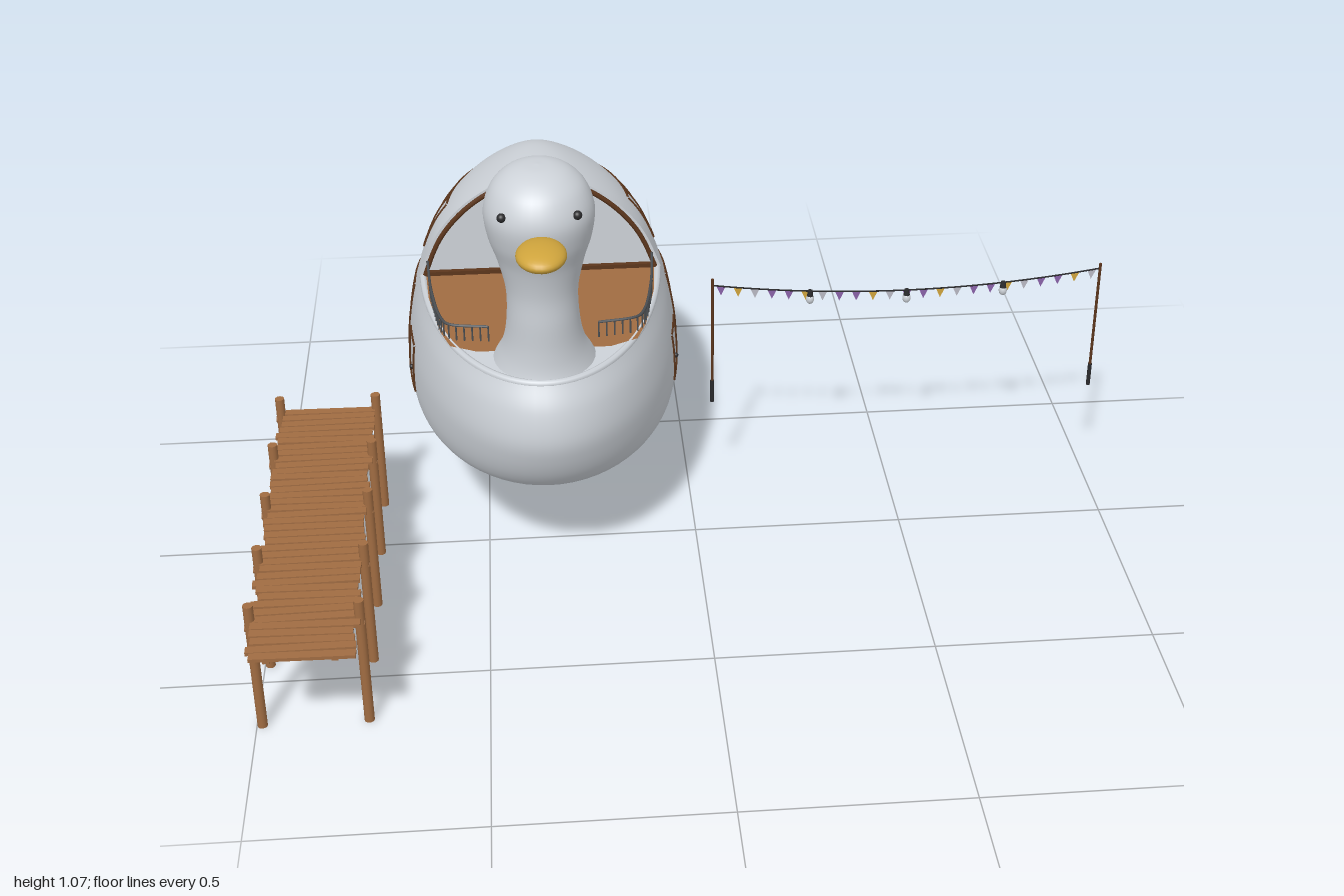
import * as THREE from 'three';

const mat = (name, color) => Object.assign(new THREE.MeshStandardMaterial({ color }), { name });
const M = {
  body: mat('pale grey', 0xcdd2d8),
  wood: mat('wood', 0xa06c42),
  frame: mat('dark wood', 0x5c361c),
  beak: mat('ochre', 0xcfa43c),
  dark: mat('charcoal', 0x2a2a2c),
  iron: mat('iron', 0x4c5054),
  purple: mat('purple', 0x8a62a8),
};
M.purple.side = M.beak.side = M.wood.side = THREE.DoubleSide;
const CX = -0.35; // boat centre line
const V = (x, y, z) => new THREE.Vector3(x, y, z);

function add(parent, name, geo, material, x = 0, y = 0, z = 0) {
  const m = new THREE.Mesh(geo, material);
  m.name = name;
  m.position.set(x, y, z);
  parent.add(m);
  return m;
}
function group(parent, name, x = 0, y = 0, z = 0) {
  const g = new THREE.Group();
  g.name = name;
  g.position.set(x, y, z);
  parent.add(g);
  return g;
}
const tube = (pts, r, n = 24, sides = 6) =>
  new THREE.TubeGeometry(new THREE.CatmullRomCurve3(pts), n, r, sides);
const bar = (a, b, r) => new THREE.TubeGeometry(new THREE.LineCurve3(a, b), 1, r, 6);

// Levels are [y, half width, centre z, reach forward, reach back]; smooth between them
function levels(rows, n) {
  const a = new THREE.CatmullRomCurve3(rows.map(r => V(r[0], r[1], r[2])), false, 'catmullrom');
  const b = new THREE.CatmullRomCurve3(rows.map(r => V(r[3], r[4], 0)), false, 'catmullrom');
  return Array.from({ length: n + 1 }, (_, i) => {
    const p = a.getPoint(i / n), q = b.getPoint(i / n);
    return [p.x, Math.max(p.y, 0), p.z, Math.max(q.x, 0), Math.max(q.y, 0)];
  });
}
function ringPoint([y, w, zc, lf, lb], a) {
  const c = Math.cos(a);
  return V(w * Math.sin(a), y, zc + c * (c > 0 ? lf : lb));
}
// Skin over the levels; startAngle opens the ring at the front
function skin(rows, seg, startAngle) {
  const pos = [], idx = [], wrap = !startAngle, cols = wrap ? seg : seg + 1;
  rows.forEach(r => {
    const a0 = wrap ? 0 : startAngle(r);
    for (let j = 0; j < cols; j++) pos.push(...ringPoint(r, a0 + (2 * Math.PI - 2 * a0) * j / seg).toArray());
  });
  for (let i = 0; i < rows.length - 1; i++) for (let j = 0; j < seg; j++) {
    const k = (j + 1) % cols, a = i * cols + j, b = i * cols + k;
    idx.push(a, b, a + cols, b, b + cols, a + cols);
  }
  const g = new THREE.BufferGeometry();
  g.setAttribute('position', new THREE.Float32BufferAttribute(pos, 3));
  g.setIndex(idx);
  g.computeVertexNormals();
  return g;
}

const WALL = -0.285;
const hullRows = levels([
  [0.245, 0, -0.35, 0, 0], [0.245, 0.25, -0.35, 0.43, 0.32], [0.258, 0.295, -0.35, 0.49, 0.365],
  [0.285, 0.32, -0.35, 0.55, 0.392], [0.33, 0.327, -0.35, 0.592, 0.403], [0.39, 0.326, -0.35, 0.622, 0.407],
  [0.45, 0.32, -0.35, 0.635, 0.405], [0.52, 0.307, -0.35, 0.622, 0.394], [0.58, 0.29, -0.35, 0.59, 0.377]], 64);
const domeRows = levels([
  [0.58, 0.29, -0.35, 0.59, 0.377], [0.65, 0.263, -0.345, 0.59, 0.36], [0.7, 0.235, -0.335, 0.59, 0.345],
  [0.75, 0.192, -0.32, 0.59, 0.32], [0.79, 0.142, -0.305, 0.59, 0.275], [0.82, 0.088, -0.295, 0.59, 0.215],
  [0.834, 0.045, -0.287, 0.59, 0.14], [0.84, 0, -0.285, 0.59, 0]], 48);

// Half width of the boat's skin at a given height and depth
function sideX(y, z) {
  const rows = y < 0.58 ? hullRows : domeRows;
  let i = 1;
  while (i < rows.length - 1 && rows[i][0] < y) i++;
  const a = rows[i - 1], b = rows[i], t = (y - a[0]) / (b[0] - a[0] || 1);
  const [, w, zc, lf, lb] = a.map((v, k) => v + (b[k] - v) * t);
  const d = (z - zc) / (z > zc ? lf : lb);
  return w * Math.sqrt(Math.max(0, 1 - d * d));
}

function windowFrame(parent, name, side, zs, y0, y1) {
  const g = group(parent, name);
  const line = (za, ya, zb, yb) => {
    const pts = Array.from({ length: 9 }, (_, i) => {
      const z = za + (zb - za) * i / 8, y = ya + (yb - ya) * i / 8;
      return V(side * (sideX(y, z) + 0.001), y, z);
    });
    add(g, name + 'Bar', tube(pts, 0.0032, 12, 5), M.frame);
  };
  zs.forEach(z => line(z, y0, z, y1));
  [y0, y1].forEach(y => line(zs[0], y, zs[zs.length - 1], y));
}

function buildBoat(root) {
  const boat = group(root, 'birdBoat', CX);
  add(boat, 'hull', skin(hullRows, 72), M.body);
  add(boat, 'cabinShell', skin(domeRows, 56, r => Math.acos(Math.min(1, Math.max(0, (WALL - r[2]) / r[3])))), M.body);

  // Top of the hull, rounded gunwale and deck
  const top = hullRows[hullRows.length - 1];
  const flat = pts => new THREE.ShapeGeometry(new THREE.Shape(pts)).rotateX(-Math.PI / 2);
  const outline = Array.from({ length: 60 }, (_, i) => ringPoint(top, i / 60 * Math.PI * 2));
  add(boat, 'hullTop', flat(outline.map(p => new THREE.Vector2(p.x, -p.z))), M.body, 0, 0.579, 0);
  const edge = Array.from({ length: 41 }, (_, i) => ringPoint(top, -1.45 + 2.9 * i / 40).multiply(V(0.975, 1, 1)).add(V(0, -0.004, -0.006)));
  add(boat, 'gunwale', tube(edge, 0.009, 80, 8), M.body);
  const half = [[0.274, WALL], [0.264, -0.15], [0.235, 0], [0.212, 0.065], [0.15, 0.095]];
  const deck = [...half, ...half.map(([x, z]) => [-x, z]).reverse()];
  add(boat, 'deck', flat(deck.map(([x, z]) => new THREE.Vector2(x, -z))), M.wood, 0, 0.584, 0);

  // Cabin front wall with its arch
  const arch = s => domeRows.map(([y, w]) => [s * w, y]);
  const wall = [...arch(1), ...arch(-1).reverse().slice(1)];
  add(boat, 'cabinWall', new THREE.ShapeGeometry(new THREE.Shape(wall.map(p => new THREE.Vector2(...p)))), M.body, 0, 0, WALL);
  add(boat, 'archTrim', tube(wall.map(([x, y]) => V(x * 0.955, 0.58 + (y - 0.58) * 0.96, WALL + 0.003)), 0.006, 90), M.frame);
  add(boat, 'wallSill', new THREE.BoxGeometry(0.55, 0.01, 0.012), M.frame, 0, 0.589, WALL + 0.006);
  [[0.075, 0.11], [0.07, 0.11]].forEach(([x]) => add(boat, 'wallWindowSide', new THREE.BoxGeometry(0.005, 0.065, 0.006), M.frame, x + (x > 0.072 ? 0.03 : -0.01), 0.74, WALL + 0.002));
  [0.71, 0.77].forEach(y => add(boat, 'wallWindowRail', new THREE.BoxGeometry(0.05, 0.005, 0.006), M.frame, 0.083, y, WALL + 0.002));
  add(boat, 'wallHandle', new THREE.BoxGeometry(0.05, 0.005, 0.006), M.frame, 0.03, 0.68, WALL + 0.002);

  // Neck and head in one skin
  const neck = levels([
    [0.46, 0.17, 0.10, 0.165, 0.16], [0.53, 0.14, 0.10, 0.15, 0.145], [0.585, 0.112, 0.11, 0.12, 0.115],
    [0.64, 0.09, 0.13, 0.095, 0.085], [0.71, 0.08, 0.145, 0.083, 0.082], [0.78, 0.08, 0.15, 0.08, 0.083],
    [0.85, 0.095, 0.15, 0.095, 0.098], [0.91, 0.113, 0.153, 0.115, 0.113], [0.97, 0.12, 0.155, 0.123, 0.12],
    [1.02, 0.104, 0.152, 0.108, 0.107], [1.05, 0.075, 0.148, 0.08, 0.08], [1.065, 0.04, 0.146, 0.043, 0.043],
    [1.069, 0, 0.146, 0, 0]], 72);
  add(boat, 'neckAndHead', skin(neck, 40), M.body);
  const ball = new THREE.SphereGeometry(1, 28, 18);
  add(boat, 'beak', ball, M.beak, 0, 0.947, 0.332).scale.set(0.054, 0.024, 0.07);
  add(boat, 'tail', ball, M.body, 0, 0.392, -0.738).scale.set(0.056, 0.028, 0.05);

  for (const s of [1, -1]) {
    add(boat, 'eye', ball, M.dark, s * 0.08, 0.992, 0.243).scale.setScalar(0.01);
    windowFrame(boat, 'upperWindow', s, [-0.38, -0.433, -0.488, -0.543, -0.595], 0.61, 0.72);
    windowFrame(boat, 'lowerWindow', s, [-0.33, -0.385, -0.44, -0.5, -0.56, -0.615], 0.37, 0.535);
    windowFrame(boat, 'sideDoor', s, [-0.165, -0.263], 0.33, 0.455);
    add(boat, 'doorKnob', ball, M.dark, s * (sideX(0.385, -0.19) + 0.003), 0.385, -0.19).scale.setScalar(0.006);

    // Deck railing
    const rail = group(boat, 'railing');
    const path = new THREE.CatmullRomCurve3([V(s * 0.268, 0.622, -0.275), V(s * 0.256, 0.622, -0.13),
      V(s * 0.232, 0.622, 0), V(s * 0.215, 0.622, 0.03), V(s * 0.125, 0.622, 0.05)]);
    add(rail, 'handrail', new THREE.TubeGeometry(path, 40, 0.0035, 6), M.iron);
    path.getSpacedPoints(22).forEach(p =>
      add(rail, 'baluster', new THREE.CylinderGeometry(0.0022, 0.0022, 0.042, 6), M.iron, p.x, 0.602, p.z));
  }
}

function buildDock(root) {
  const dock = group(root, 'dock');
  let seed = 7;
  const rnd = () => ((seed = (seed * 16807) % 2147483647) / 2147483647) - 0.5;
  for (let i = 0; i < 38; i++) {
    const p = add(dock, 'plank', new THREE.BoxGeometry(0.222 + rnd() * 0.015, 0.008, 0.021), M.wood,
      -0.875 + rnd() * 0.012, 0.279, -0.17 + i * 0.0254);
    p.rotation.y = rnd() * 0.06;
  }
  [-0.945, -0.805].forEach(x => add(dock, 'joist', new THREE.BoxGeometry(0.014, 0.012, 0.94), M.wood, x, 0.269, 0.3));
  for (let i = 0; i < 5; i++) {
    const z = -0.175 + i * 0.205;
    add(dock, 'crossbeam', bar(V(-1, 0.262, z), V(-0.75, 0.262, z), 0.008), M.wood);
    [-0.988, -0.76].forEach(x => add(dock, 'post', new THREE.CylinderGeometry(0.011, 0.011, 0.32, 12), M.wood, x, 0.16, z));
  }
}

function buildBunting(root) {
  const bunting = group(root, 'bunting', 0, 0, -0.18);
  [0.056, 0.994].forEach(x => {
    add(bunting, 'pole', new THREE.CylinderGeometry(0.0035, 0.0035, 0.34, 8), M.frame, x, 0.425, 0);
    add(bunting, 'poleFoot', new THREE.CylinderGeometry(0.005, 0.005, 0.06, 8), M.dark, x, 0.285, 0);
  });
  const wire = new THREE.QuadraticBezierCurve3(V(0.056, 0.578, 0), V(0.525, 0.508, 0), V(0.994, 0.582, 0));
  add(bunting, 'wire', new THREE.TubeGeometry(wire, 40, 0.002, 5), M.dark);
  const tri = new THREE.ShapeGeometry(new THREE.Shape([[-0.011, 0], [0, -0.025], [0.011, 0]].map(p => new THREE.Vector2(...p))));
  const colours = [M.purple, M.beak, M.iron, M.purple];
  for (let i = 0; i < 23; i++) {
    const p = wire.getPoint((i + 0.5) / 23);
    const flag = add(bunting, 'flag', tri, colours[i % 4], p.x, p.y, 0);
    if (i % 4 === 2) flag.material = M.flagGrey ??= Object.assign(mat('flag grey', 0xb9b9c4), { side: THREE.DoubleSide });
  }
  [0.25, 0.5, 0.75].forEach(t => {
    const p = wire.getPoint(t);
    add(bunting, 'lampCap', new THREE.CylinderGeometry(0.006, 0.008, 0.016, 10), M.dark, p.x, p.y - 0.006, 0);
    add(bunting, 'lampBulb', new THREE.SphereGeometry(0.01, 14, 10), M.body, p.x, p.y - 0.021, 0).scale.y = 1.3;
  });
}

export function createModel() {
  const root = new THREE.Group();
  root.name = 'birdBoatScene';
  buildBoat(root);
  buildDock(root);
  buildBunting(root);
  return root;
}
